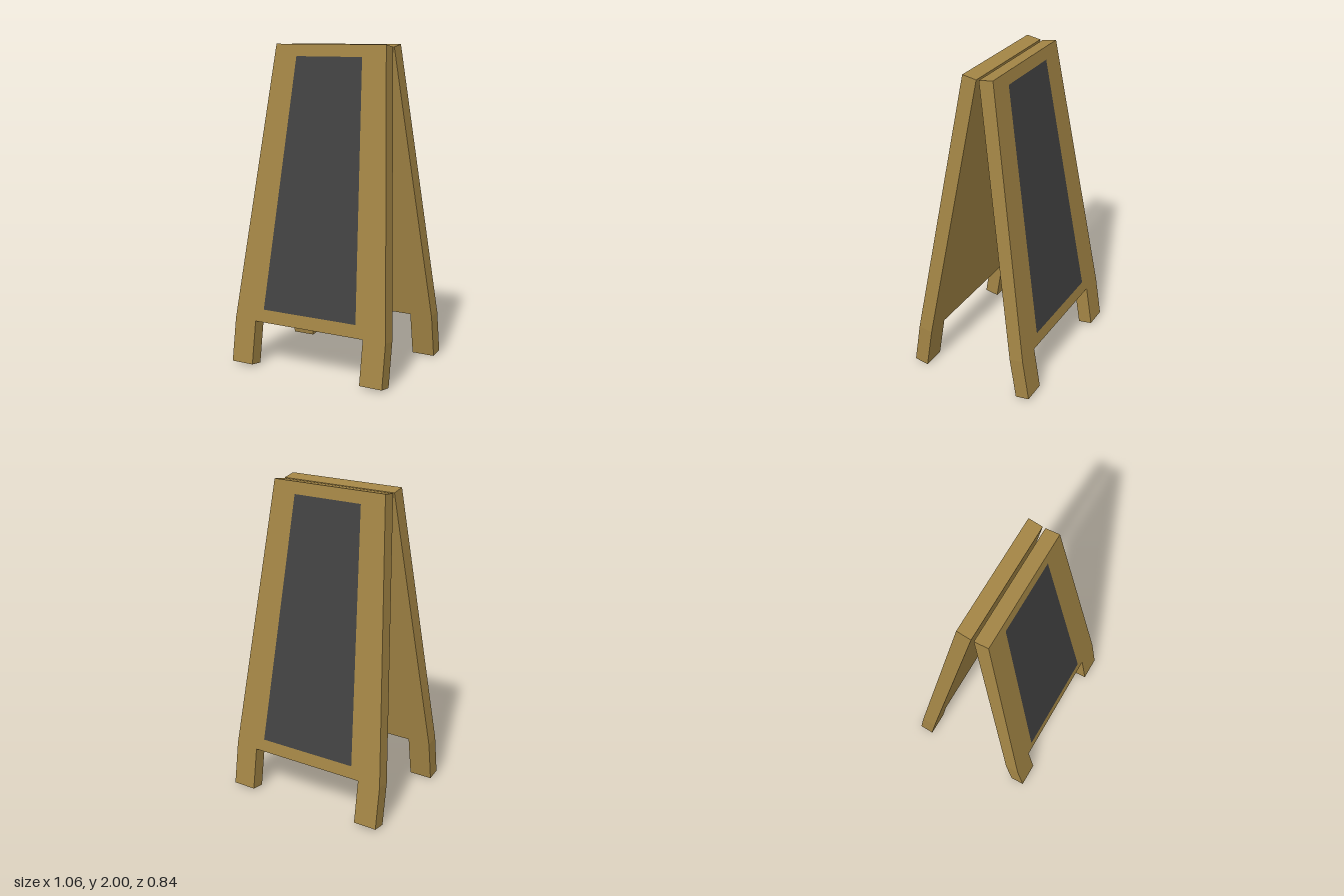
import * as THREE from 'three';

const TILT = Math.atan2(0.32, 1.985); // lean of each panel
const LENGTH = 2.01;                  // panel length along its slope
const THICK = 0.091;

const wood = new THREE.MeshStandardMaterial({ color: 0xa38545, flatShading: true });
const slate = new THREE.MeshStandardMaterial({ color: 0x414141, flatShading: true });

// Closed shape, symmetric in x, from the points of its right half
function mirroredShape(half) {
  const left = half.map(([x, y]) => [-x, y]).reverse();
  return new THREE.Shape([...half, ...left].map(([x, y]) => new THREE.Vector2(x, y)));
}

function createPanel() {
  const panel = new THREE.Group();

  // Tapered wooden panel with two legs; its outer face lies at z = 0
  const outline = mirroredShape([
    [0.38, 0.275], [0.38, 0], [0.53, 0], [0.53, 0.275], [0.38, LENGTH],
  ]);
  const frameGeometry = new THREE.ExtrudeGeometry(outline, { depth: THICK, bevelEnabled: false });
  frameGeometry.translate(0, 0, -THICK);
  const frame = new THREE.Mesh(frameGeometry, wood);
  frame.name = 'woodenFrame';

  // Writing surface, practically flush with the outer face
  const surface = mirroredShape([[0.325, 0.355], [0.228, 1.935]]);
  const board = new THREE.Mesh(new THREE.ShapeGeometry(surface), slate);
  board.name = 'chalkboard';
  board.position.z = 0.0015;

  panel.add(frame, board);
  panel.position.set(0, THICK * Math.sin(TILT), 0.418);
  panel.rotation.x = -TILT;
  return panel;
}

export function createModel() {
  const model = new THREE.Group();
  model.name = 'sandwichBoard';

  // Two identical panels leaning towards each other
  ['frontPanel', 'backPanel'].forEach((name, i) => {
    const side = new THREE.Group();
    side.name = name;
    side.add(createPanel());
    side.rotation.y = i * Math.PI;
    model.add(side);
  });
  return model;
}
